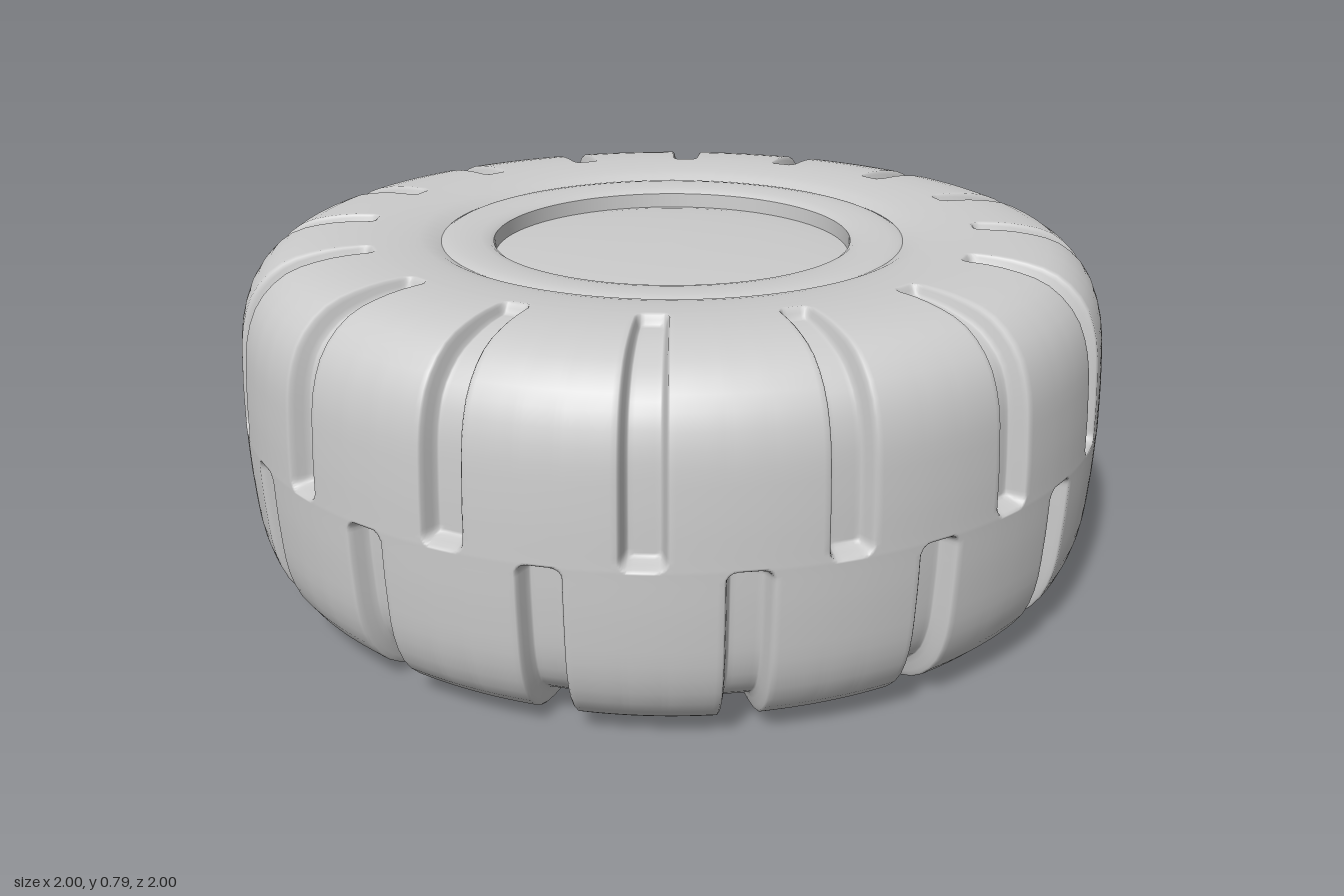
import * as THREE from 'three';

const MID = 0.397;            // height of the tread centre line
const GROOVES = 16;           // per side, the two sides staggered by half a pitch
const STEP = Math.PI / GROOVES;
const START = THREE.MathUtils.degToRad(8.45);
const HALF_WIDTH = 0.048, CORNER = 0.025, DEPTH = 0.042, BEVEL = 0.016, GROOVE_END_R = 0.695;

const curve = (pts) => new THREE.CatmullRomCurve3(pts.map(([r, y]) => new THREE.Vector3(r, y, 0)), false, 'centripetal');

// Half cross-sections, from the tread centre line over the shoulder
const shoulder = [[1, 0], [0.996, 0.12], [0.983, 0.24], [0.952, 0.315], [0.89, 0.37], [0.8, 0.393], [0.7, 0.397]];
const topCurve = curve([...shoulder, [0.61, 0.391], [0.555, 0.381], [0.535, 0.371]]);
const bottomCurve = curve([...shoulder, [0.64, 0.397], [0.58, 0.397]]);

// How far inside a rounded-end groove a point lies, as 0..1
function grooveAmount(da, s, end) {
  const qx = Math.abs(da) - HALF_WIDTH + CORNER;
  const qy = Math.abs(s - end / 2) - end / 2 + CORNER;
  const d = Math.hypot(Math.max(qx, 0), Math.max(qy, 0)) + Math.min(Math.max(qx, qy), 0) - CORNER;
  return THREE.MathUtils.smoothstep(-d, 0, BEVEL);
}

// Rows along one half section, dense where grooves begin and end
function halfRows(c, sign) {
  const length = c.getLength();
  let u = 0;
  while (c.getPointAt(u).x > GROOVE_END_R || u < 0.3) u += 0.002;
  const end = u * length;
  const arcs = [0, 0.004, 0.008, 0.012, 0.016, 0.022, 0.03];
  for (let i = 1; i <= 16; i++) arcs.push(0.03 + (end - 0.06) * i / 16);
  for (const e of [0.022, 0.016, 0.012, 0.008, 0.004, 0, -0.006]) arcs.push(end - e);
  for (let i = 1; i <= 6; i++) arcs.push(end + 0.006 + (length - end - 0.006) * i / 6);
  return arcs.map((s) => {
    const t = Math.min(s / length, 1);
    const p = c.getPointAt(t), g = c.getTangentAt(t);
    // grooves get shallower where they run out on the sidewall
    const depth = DEPTH * (1 - 0.45 * THREE.MathUtils.smoothstep(s, end - 0.25, end));
    return { r: p.x, y: p.y * sign, nr: g.y, ny: -g.x * sign, s, end, sign, depth };
  });
}

function tyreGeometry() {
  const rows = [...halfRows(bottomCurve, -1).reverse(), ...halfRows(topCurve, 1).slice(1)];
  // Columns, dense along the groove walls
  const side = [0.02, 0.03, 0.034, 0.038, 0.042, 0.045, 0.049, 0.06, 0.08];
  const offsets = [-STEP / 2, ...side.map((v) => -v).reverse(), 0, ...side];
  const columns = [];
  for (let k = 0; k < GROOVES * 2; k++) {
    for (const da of offsets) columns.push({ a: START + k * STEP + da, da, sign: k % 2 ? -1 : 1 });
  }
  const n = columns.length, pos = [], index = [];
  rows.forEach((w, j) => {
    columns.forEach((c, i) => {
      const cut = c.sign === w.sign ? w.depth * grooveAmount(c.da, w.s, w.end) : 0;
      const r = w.r - w.nr * cut;
      pos.push(r * Math.sin(c.a), MID + w.y - w.ny * cut, r * Math.cos(c.a));
      if (j === rows.length - 1) return;
      const a = j * n + i, b = j * n + (i + 1) % n;
      index.push(a, b, b + n, a, b + n, a + n);
    });
  });
  const geo = new THREE.BufferGeometry();
  geo.setAttribute('position', new THREE.Float32BufferAttribute(pos, 3));
  geo.setIndex(index);
  geo.computeVertexNormals();
  return geo;
}

export function createModel() {
  const group = new THREE.Group();
  const material = new THREE.MeshStandardMaterial({ color: 0xcccccc });
  const add = (name, geometry) => {
    const mesh = new THREE.Mesh(geometry, material);
    mesh.name = name;
    group.add(mesh);
    return mesh;
  };
  const lathe = (pts) => new THREE.LatheGeometry(pts.map(([r, y]) => new THREE.Vector2(r, y)), 128);

  add('tyre', tyreGeometry());

  // Rounded rim ring, its inner wall and the slightly domed hub
  add('rimRing', lathe([[0.536, 0.767], [0.526, 0.772], [0.505, 0.775], [0.475, 0.775], [0.445, 0.772], [0.425, 0.768], [0.415, 0.761]]));
  add('rimWall', lathe([[0.415, 0.762], [0.413, 0.727]]));
  add('hubDisc', lathe([[0.414, 0.727], [0.38, 0.732], [0.3, 0.738], [0.2, 0.742], [0.1, 0.744], [0, 0.745]]));

  // Flat underside
  const base = add('underside', new THREE.CircleGeometry(0.581, 128));
  base.rotation.x = Math.PI / 2;
  return group;
}
